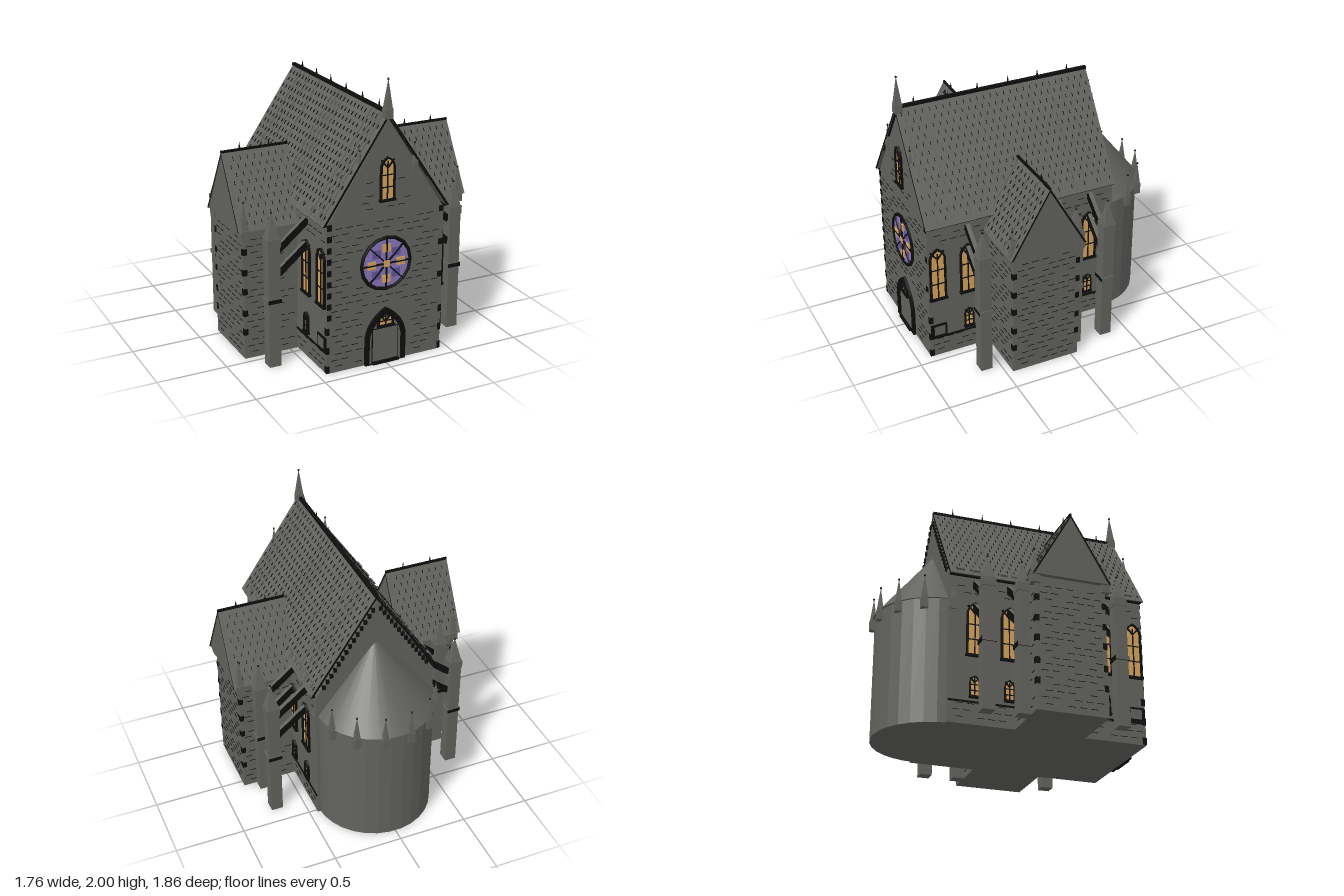
import * as THREE from 'three';
import { mergeGeometries } from 'three/addons/utils/BufferGeometryUtils.js';

const mat = (name, color) => Object.assign(new THREE.MeshStandardMaterial({ color }), { name });

export function createModel() {
  const stone = mat('stone', 0x62635e), dark = mat('dark trim', 0x0d0d0d);
  const gold = mat('lit glass', 0xd8a55c), purple = mat('purple glass', 0x8a76bd), violet = mat('violet glass', 0x64559a);
  const model = new THREE.Group();
  model.name = 'church';

  const add = (parent, name, geo, material, x = 0, y = 0, z = 0) => {
    const m = new THREE.Mesh(geo, material);
    m.name = name;
    m.position.set(x, y, z);
    parent.add(m);
    return m;
  };
  const group = (name, x = 0, y = 0, z = 0, ry = 0, parent = model) => {
    const g = new THREE.Group();
    g.name = name;
    g.position.set(x, y, z);
    g.rotation.y = ry;
    parent.add(g);
    return g;
  };
  const box = (w, h, d) => new THREE.BoxGeometry(w, h, d);
  // Many boxes as one mesh, each [w, h, d, x, y, z]
  const boxes = (parent, name, list, material) =>
    add(parent, name, mergeGeometries(list.map(([w, h, d, x, y, z]) => box(w, h, d).translate(x, y, z))), material);
  const poly = pts => new THREE.Shape(pts.map(p => new THREE.Vector2(...p)));
  const extrude = (shape, depth) => new THREE.ExtrudeGeometry(shape, { depth, bevelEnabled: false, curveSegments: 6 });

  // Square base, pyramid spire and knob
  const pinnacle = (name, x, y, z, w, baseH, spireH, ry = 0) => {
    const g = group(name, x, y, z, ry);
    add(g, 'pinnacleBase', box(w, baseH, w), stone, 0, baseH / 2);
    add(g, 'pinnacleSpire', new THREE.ConeGeometry(w * 0.62, spireH, 4, 1).rotateY(Math.PI / 4).toNonIndexed(), stone, 0, baseH + spireH / 2)
      .geometry.computeVertexNormals();
    add(g, 'pinnacleKnob', new THREE.SphereGeometry(0.008, 6, 5), dark, 0, baseH + spireH - 0.005);
  };

  // Pointed arch outline, half width w, total height h
  const arch = (w, h, C = THREE.Shape) => {
    const s = new C(), spring = h - w * 1.35;
    s.moveTo(-w, 0);
    s.lineTo(w, 0);
    s.lineTo(w, spring);
    s.quadraticCurveTo(w * 0.9, h - w * 0.5, 0, h);
    s.quadraticCurveTo(-w * 0.9, h - w * 0.5, -w, spring);
    s.closePath();
    return s;
  };
  const archFrame = (w, h, t) => {
    const s = arch(w, h);
    const hole = new THREE.Path(arch(w - t, h - t * 1.6).getPoints(6).map(p => p.setY(p.y + (t < 0.03 ? t * 0.5 : 0))));
    s.holes.push(hole);
    return s;
  };
  const lancet = (name, x, y, z, ry, w, h) => {
    const g = group(name, x, y, z, ry);
    add(g, 'windowGlass', extrude(arch(w * 0.9, h * 0.97), 0.006), gold);
    add(g, 'windowFrame', extrude(archFrame(w, h, w * 0.22), 0.018), dark);
    const bars = [[0.008, h * 0.9, 0.012, 0, h * 0.45, 0.006], [w * 2.2, 0.016, 0.03, 0, 0, 0.008]];
    for (const f of [0.3, 0.58]) bars.push([w * 1.8, 0.006, 0.012, 0, h * f, 0.006]);
    boxes(g, 'windowBars', bars, dark);
    for (const s of [-1, 1])
      add(g, 'windowTracery', box(0.01, w * 1.3, 0.014), dark, s * w * 0.42, h - w * 0.9, 0.007).rotation.z = -s * 0.7;
  };

  // Thin proud joints scattered over a wall
  const joints = (name, x, z, ry, width, height, rows, skip = () => false) => {
    const list = [];
    for (let r = 1; r < rows; r++)
      for (let i = 0, n = Math.round(width / 0.075); i < n; i++) {
        if ((i * 7 + r * 5) % 4 === 0) continue;
        const px = ((i + 0.5 + (r % 2) * 0.4) / n - 0.5) * width, py = (r / rows) * height;
        if (Math.abs(px) < width / 2 - 0.03 && !skip(px, py)) list.push([0.05, 0.0025, 0.008, px, py, 0]);
      }
    boxes(group(name, x, 0, z, ry), 'stoneJoints', list, dark);
  };

  // Nave body and roof
  add(model, 'naveWalls', extrude(poly([[-0.44, 0], [0.44, 0], [0.44, 1.06], [0.405, 1.11], [0, 1.735], [-0.405, 1.11], [-0.44, 1.06]]), 1.42), stone, 0, 0, -0.52);
  add(model, 'naveRoof', extrude(poly([[0, 1.775], [-0.475, 1.07], [-0.455, 1.07], [0, 1.75], [0.455, 1.07], [0.475, 1.07]]), 1.435), [dark, stone], 0, 0, -0.52);
  add(model, 'naveRidge', box(0.026, 0.02, 1.42), dark, 0, 1.775, 0.19);

  // Battens, tile edges and eave blocks on one roof slope
  const slope = (name, x, y, z, ry, run, rise, length, battens, blocks) => {
    const outer = group(name, x, y, z, ry), g = group('roofSlope', 0, 0, 0, 0, outer), L = Math.hypot(run, rise);
    g.rotation.z = -Math.atan2(rise, run);
    boxes(g, 'roofBattens', battens.map(b => [L * 0.96, 0.008, 0.007, L * 0.5, 0.003, b]), stone);
    const tiles = [];
    for (let r = 1, n = Math.round(L / 0.055); r < n; r++)
      for (let i = 0, m = Math.round(length / 0.05); i < m; i++)
        tiles.push([0.028, 0.008, 0.003, (r / n) * L, 0.002, ((i + 0.25 + (r % 2) * 0.5) / m - 0.5) * length]);
    boxes(g, 'tileEdges', tiles, dark);
    if (blocks.length) boxes(g, 'eaveBlocks', blocks.map(b => [0.035, 0.016, 0.05, L - 0.06, 0.006, b]), stone);
  };
  for (const s of [1, -1]) {
    const zs = a => a.map(v => (v - 0.195) * s);
    slope('naveRoofSlope', 0, 1.775, 0.195, s > 0 ? 0 : Math.PI, 0.475, 0.705, 1.4,
      zs([0.86, 0.82, 0.77, 0.71, 0.34, 0.29, 0.24, 0.19, -0.06, -0.22, -0.3, -0.36]),
      zs([0.8, 0.67, 0.55, 0.43, -0.05, -0.13, -0.23, -0.33, -0.44]));
    add(model, 'naveEave', box(0.02, 0.014, 1.42), dark, s * 0.455, 1.067, 0.19);
    add(model, 'naveStringCourse', box(0.012, 0.012, 1.41), dark, s * 0.442, 0.155, 0.19);
    add(model, 'gableRake', box(0.014, 0.82, 0.02), dark, s * 0.232, 1.415, 0.9).rotation.z = s * 0.593;
  }

  // Transepts
  const apexZ = 0.2;
  for (const s of [1, -1]) {
    const t = group('transept', 0, 0, 0);
    add(t, 'transeptWalls', box(0.42, 0.95, 0.5), stone, s * 0.63, 0.475, apexZ);
    const x0 = s > 0 ? 0.39 : -0.88;
    const prism = (pts, d) => extrude(poly(pts), d).rotateY(Math.PI / 2);
    add(t, 'transeptGable', prism([[-0.26, 0.945], [0.26, 0.945], [0, 1.41]], 0.475), stone, s > 0 ? 0.4 : -0.875, 0, apexZ);
    add(t, 'transeptRoof', prism([[0, 1.43], [-0.28, 0.945], [-0.265, 0.945], [0, 1.408], [0.265, 0.945], [0.28, 0.945]], 0.49), [dark, stone], x0, 0, apexZ);
    add(t, 'transeptRidge', box(0.49, 0.016, 0.014), dark, s * 0.635, 1.43, apexZ);
    for (const q of [1, -1]) {
      slope('transeptRoofSlope', s * 0.635, 1.43, apexZ, -q * Math.PI / 2, 0.28, 0.485, 0.47, [-0.19, -0.1, 0.02, 0.13, 0.22], []);
      pinnacle('transeptPinnacle', s * 0.83, 0.89, apexZ + q * 0.25, 0.06, 0.06, 0.2);
      joints('transeptSideWall', s * 0.64, apexZ + q * 0.25, q > 0 ? 0 : Math.PI, 0.38, 0.92, 20);
      // Corner stones
      boxes(t, 'transeptQuoins', [0.2, 0.34, 0.5, 0.64, 0.79].map(y => [0.03, 0.045, 0.03, s * 0.828, y, apexZ + q * 0.238]), dark);
    }
    joints('transeptEndWall', s * 0.84, apexZ, s * Math.PI / 2, 0.46, 0.92, 20);
    for (const x of [0.53, 0.745]) add(t, 'transeptFinial', new THREE.ConeGeometry(0.008, 0.05, 5), dark, s * x, 1.46, apexZ);
  }
  for (const z of [0.78, 0.55, 0.315, 0.085, -0.14, -0.37])
    add(model, 'ridgeFinial', new THREE.ConeGeometry(0.009, 0.055, 5), dark, 0, 1.81, z);

  // Apse with conical roof and crown of pinnacles
  const apse = new THREE.CylinderGeometry(0.42, 0.42, 0.89, 15, 1, false, Math.PI / 2, Math.PI).toNonIndexed();
  apse.computeVertexNormals();
  add(model, 'apseWall', apse, stone, 0, 0.445, -0.49);
  add(model, 'apseRoof', new THREE.ConeGeometry(0.43, 0.54, 15, 1, false, Math.PI / 2, Math.PI), stone, 0, 1.16, -0.495);
  for (let k = 0; k < 8; k++) {
    const a = (k * Math.PI) / 7;
    pinnacle('apsePinnacle', 0.43 * Math.cos(a), 0.81, -0.49 - 0.43 * Math.sin(a), 0.045, 0.08, 0.17);
  }

  // Free-standing piers with flying buttresses
  for (const s of [1, -1])
    for (const z of [0.605, -0.09, -0.335]) {
      const g = group('buttress', 0, 0, z);
      add(g, 'pier', box(0.085, 0.9, 0.085), stone, s * 0.7, 0.45);
      add(g, 'pierBand', box(0.1, 0.03, 0.1), [stone, stone, stone, dark, dark, dark], s * 0.7, 0.485);
      pinnacle('pierPinnacle', s * 0.7, 0.87, z, 0.095, 0.06, 0.18);
      for (const y of [0.925, 0.755]) {
        const f = group('flyingButtress', s * 0.55, y, 0, 0, g);
        f.rotation.z = -s * 0.69;
        add(f, 'flyer', box(0.29, 0.05, 0.03), [dark, dark, stone, dark, dark, dark]);
      }
      lancet('naveWindow', s * 0.44, 0.485, z, s * Math.PI / 2, 0.06, 0.39);
      lancet('lowWindow', s * 0.44, 0.19, z, s * Math.PI / 2, 0.035, 0.15);
    }
  for (const s of [1, -1]) {
    lancet('naveWindow', s * 0.44, 0.485, 0.83, s * Math.PI / 2, 0.06, 0.41);
    add(model, 'lowPanel', box(0.02, 0.1, 0.12), dark, s * 0.44, 0.215, 0.835);
    add(model, 'lowPanelStone', box(0.024, 0.07, 0.08), stone, s * 0.441, 0.215, 0.83);
    joints('naveFrontSide', s * 0.44, 0.67, s * Math.PI / 2, 0.44, 1.04, 22, (x, y) => y > 0.15 && y < 0.9 && Math.abs(Math.abs(x) - 0.1) < 0.1);
    joints('naveRearSide', s * 0.44, -0.28, s * Math.PI / 2, 0.44, 1.04, 22, (x, y) => y > 0.15 && y < 0.9);
    // Front corner stones and rear rake stones
    const quoins = [], rake = [];
    for (let y = 0.41; y < 1.08; y += 0.08) if (s < 0 || Math.round(y * 100) % 3 === 0) quoins.push([0.034, 0.042, 0.02, s * 0.422, y, 0.893]);
    for (const y of [0.03, 0.17, 0.31]) quoins.push([0.024, 0.05, 0.03, s * 0.432, y, 0.888]);
    for (let i = 1; i < 15; i++) rake.push([0.022, 0.03, 0.02, s * 0.41 * (i / 15), 1.715 - 0.625 * (i / 15), -0.522]);
    boxes(model, 'cornerStones', quoins, dark);
    boxes(model, 'rakeStones', rake, dark);
    pinnacle('gablePinnacle', s * 0.205, 1.35, 0.9, 0.036, 0.07, 0.13);
  }
  pinnacle('frontSpire', 0, 1.735, 0.895, 0.055, 0.065, 0.2);
  joints('frontWall', 0, 0.9, 0, 0.84, 1.08, 24, (x, y) => Math.hypot(x, y - 0.73) < 0.23 || (Math.abs(x) < 0.19 && y < 0.43));
  joints('frontGable', 0, 0.9, 0, 0.4, 1.36, 30, (x, y) => y < 1.1 || (Math.abs(x) < 0.09 && y > 1.15));
  lancet('gableWindow', 0, 1.18, 0.9, 0, 0.055, 0.3);

  // Rose window
  const rose = group('roseWindow', 0, 0.73, 0.9);
  add(rose, 'roseGlass', new THREE.CircleGeometry(0.185, 24), purple, 0, 0, 0.006);
  add(rose, 'roseRim', new THREE.TorusGeometry(0.185, 0.013, 6, 16), dark, 0, 0, 0.005);
  for (let i = 0; i < 4; i++) {
    add(rose, 'roseSpoke', box(0.36, 0.009, 0.012), dark, 0, 0, 0.012).rotation.z = (i * Math.PI) / 4;
    const a = (i * Math.PI) / 2, c = Math.cos(a), d = Math.sin(a);
    add(rose, 'rosePetal', box(0.06, 0.055, 0.008), gold, 0.11 * c, 0.11 * d, 0.011);
    add(rose, 'roseDiagonalPetal', box(0.06, 0.06, 0.008), violet, 0.075 * (c - d), 0.075 * (c + d), 0.009);
  }
  add(rose, 'roseHeart', box(0.045, 0.045, 0.008), gold, 0, 0, 0.015);

  // Portal
  const portal = group('portal', 0, 0, 0.9);
  add(portal, 'portalFrame', extrude(archFrame(0.155, 0.41, 0.032), 0.02), dark);
  add(portal, 'portalPanel', extrude(arch(0.125, 0.36), 0.004), stone);
  add(portal, 'doorSurround', box(0.2, 0.25, 0.006), dark, 0, 0.135, 0.006);
  add(portal, 'door', box(0.188, 0.238, 0.009), stone, 0, 0.135, 0.008);
  add(portal, 'doorStep', box(0.2, 0.02, 0.035), dark, 0, 0.01, 0.013);
  lancet('portalWindow', 0, 0.275, 0.904, 0, 0.06, 0.115);
  return model;
}
